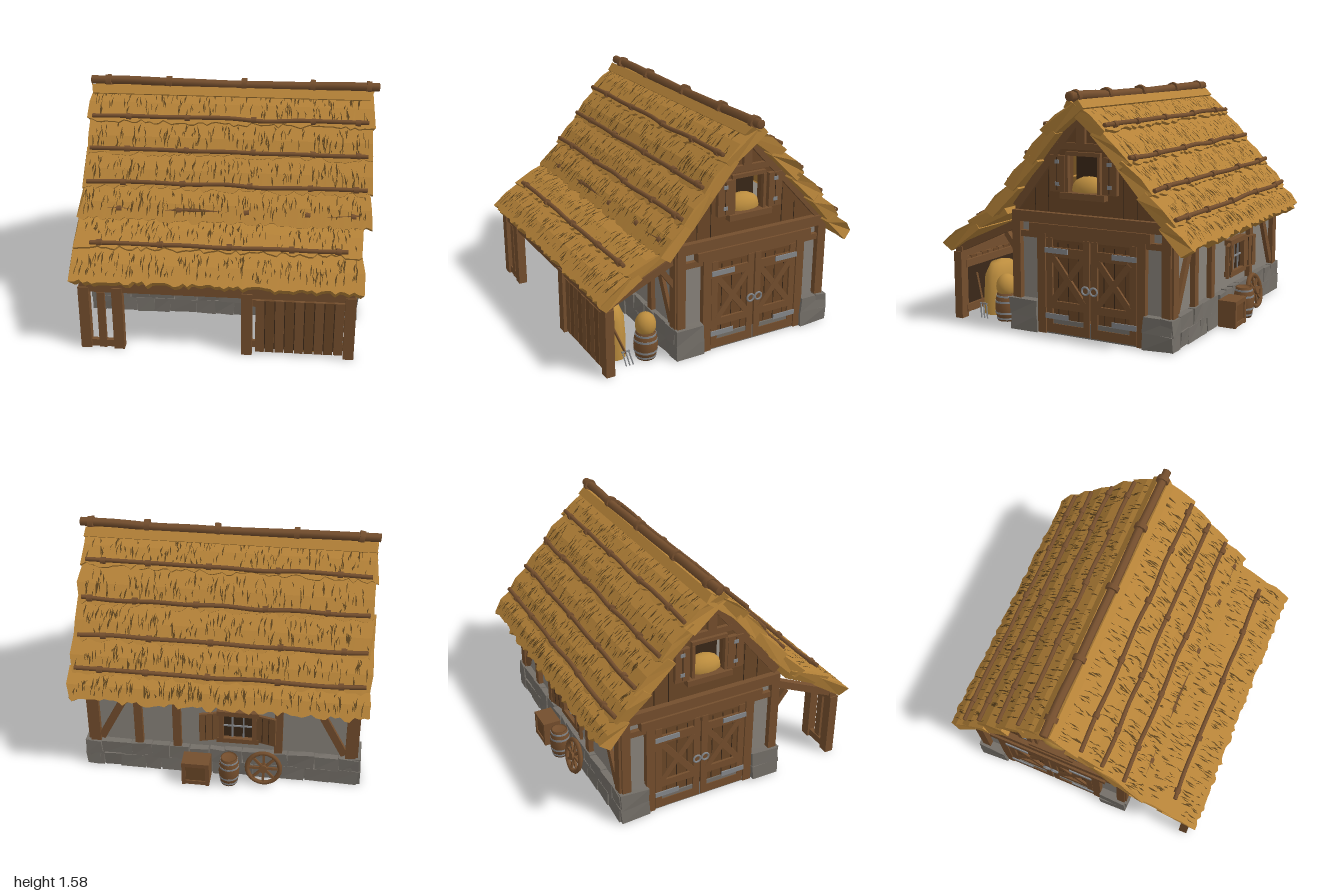
import * as THREE from 'three';
import { mergeGeometries } from 'three/addons/utils/BufferGeometryUtils.js';

export function createModel() {
  const root = new THREE.Group();
  root.name = 'thatchedBarn';
  let seed = 7;
  const rnd = (a = 0, b = 1) => {
    seed = (seed * 16807) % 2147483647;
    return a + (b - a) * (seed / 2147483647);
  };
  const mat = (name, color, extra = {}) => Object.assign(new THREE.MeshStandardMaterial({ color, ...extra }), { name });
  const thatch = mat('thatch', 0xb58238), straw = mat('darkStraw', 0x5a411c, { side: THREE.DoubleSide });
  const wood = mat('wood', 0x744e2d), board = mat('boards', 0x6a4626), seam = mat('seam', 0x3a2818);
  const plaster = mat('plaster', 0x88827a), stone = mat('stone', 0x746f68), metal = mat('metal', 0x85878a);
  const hay = mat('hay', 0xbc8d3e);
  const V = (x, y, z) => new THREE.Vector3(x, y, z);

  // helpers
  let target = root;
  const group = (name, fn, parent = root) => {
    const g = new THREE.Group(), old = target;
    g.name = name; parent.add(g); target = g; fn(g); target = old;
    return g;
  };
  const add = (name, geo, m, x = 0, y = 0, z = 0) => {
    const o = new THREE.Mesh(geo, m);
    o.name = name; o.position.set(x, y, z); target.add(o);
    return o;
  };
  const box = (name, m, w, h, d, x, y, z) => add(name, new THREE.BoxGeometry(w, h, d), m, x, y, z);
  const bar = (name, m, p, q, w, d) => {
    const dir = q.clone().sub(p), c = p.clone().add(q).multiplyScalar(0.5);
    const o = box(name, m, w, dir.length(), d, c.x, c.y, c.z);
    o.quaternion.setFromUnitVectors(V(0, 1, 0), dir.normalize());
    return o;
  };
  const flat = (pos) => {
    const g = new THREE.BufferGeometry();
    g.setAttribute('position', new THREE.Float32BufferAttribute(pos, 3));
    g.computeVertexNormals();
    return g;
  };
  const roughBox = (w, h, d, x, y, z, j) => {
    const g = new THREE.BoxGeometry(w, h, d).toNonIndexed(), p = g.attributes.position;
    const off = Array.from({ length: 8 }, () => [rnd(-j, j), rnd(-j, j), rnd(-j, j)]);
    for (let i = 0; i < p.count; i++) {
      const o = off[(p.getX(i) > 0) + 2 * (p.getY(i) > 0) + 4 * (p.getZ(i) > 0)];
      p.setXYZ(i, p.getX(i) + x + o[0], Math.max(0, p.getY(i) + y + o[1]), p.getZ(i) + z + o[2]);
    }
    g.computeVertexNormals();
    return g;
  };

  // one ragged thatch course from a to b, each [z, y]
  const course = (a, b, x0, x1) => {
    const side = Math.sign(b[0] - a[0]), N = 64;
    const d = new THREE.Vector2(b[0] - a[0], b[1] - a[1]), L = d.length();
    d.normalize();
    const n = new THREE.Vector2(-d.y * side, d.x * side);
    const at = (t, h) => [a[0] + d.x * t + n.x * h, a[1] + d.y * t + n.y * h];
    const profile = [[-0.03, -0.02], [L * 0.55, 0.012], [L + 0.02, 0.008], [L + 0.01, -0.07], [-0.03, -0.085]];
    if (side < 0) profile.reverse();
    const rings = [];
    for (let j = 0; j <= N; j++) {
      const jag = rnd(-0.018, 0.018), end = j === 0 || j === N;
      rings.push(profile.map(([t, h]) => {
        const [z, y] = at(t > L ? t + jag : t, h);
        return [x0 + ((x1 - x0) * j) / N + (end ? rnd(-0.02, 0.02) : 0), y, z];
      }));
    }
    const pos = [], tri = (...v) => v.forEach((p) => pos.push(...p));
    for (let j = 0; j < N; j++) for (let i = 0; i < 5; i++) {
      const k = (i + 1) % 5, A = rings[j], B = rings[j + 1];
      tri(A[i], A[k], B[i]);
      tri(A[k], B[k], B[i]);
    }
    for (let k = 1; k < 4; k++) {
      tri(rings[N][0], rings[N][k], rings[N][k + 1]);
      tri(rings[0][0], rings[0][k + 1], rings[0][k]);
    }
    add('thatchCourse', flat(pos), thatch);
    // dark straw slivers lying on the course
    const s = [];
    for (let i = 0; i < 150; i++) {
      const x = rnd(x0 + 0.03, x1 - 0.03), len = rnd(0.03, 0.1), w = rnd(0.002, 0.006), lean = rnd(-0.015, 0.015);
      const t0 = rnd(0.02, Math.max(0.04, L - len)), P = (t, dx) => {
        const m = L * 0.55, h = t < m ? -0.02 + (0.032 * (t + 0.03)) / (m + 0.03) : 0.012;
        const [z, y] = at(t, h + 0.003);
        return [x + dx, y, z];
      };
      const p = P(t0, 0), l = P(t0 + len / 2, lean - w), r = P(t0 + len / 2, lean + w), q = P(t0 + len, lean);
      if (side > 0) s.push(...p, ...l, ...r, ...l, ...q, ...r);
      else s.push(...p, ...r, ...l, ...l, ...r, ...q);
    }
    add('strawStrokes', flat(s), straw);
  };
  // wobbly pole along x with lashings
  const pole = (name, y, z, x0, x1, r, ties) => {
    const pts = Array.from({ length: 9 }, (_, i) => V(x0 + ((x1 - x0) * i) / 8, y + rnd(-0.007, 0.007), z + rnd(-0.006, 0.006)));
    add(name, new THREE.TubeGeometry(new THREE.CatmullRomCurve3(pts), 32, r, 7), wood);
    for (const e of [0, 8]) add(name + 'End', new THREE.SphereGeometry(r, 7, 5), wood, pts[e].x, pts[e].y, pts[e].z).scale.x = 0.2;
    for (const x of ties) add('lashing', new THREE.CylinderGeometry(r * 1.5, r * 1.5, 0.035, 8), wood, x, y, z).rotation.z = Math.PI / 2 + rnd(-0.2, 0.2);
  };
  group('roof', () => {
    const front = [[-0.13, 1.51], [0.08, 1.33], [0.22, 1.15], [0.37, 0.97], [0.52, 0.80]];
    const back = [[-0.13, 1.51], [-0.33, 1.34], [-0.5, 1.15], [-0.66, 0.97], [-0.8, 0.8], [-0.91, 0.67]];
    const lean = [[0.47, 0.82], [0.71, 0.69], [0.9, 0.54]];
    for (const [line, x0, x1] of [[front, -0.98, 0.95], [back, -0.98, 0.95], [lean, -0.97, 0.9]])
      for (let i = 0; i < line.length - 1; i++) {
        course(line[i], line[i + 1], x0, x1);
        if (i || line === lean) {
          const inset = line === lean && i ? 0.1 : 0.03, sh = rnd(-0.08, 0.08);
          pole('roofPole', line[i][1] + 0.022, line[i][0] + 0.008 * Math.sign(line[i][0]), x0 + inset, x1 - inset, 0.015,
            [-0.75, -0.35, 0.1, 0.5, 0.8].map((x) => x + sh));
        }
      }
    pole('ridgePole', 1.53, -0.13, -0.99, 0.99, 0.03, [-0.87, -0.45, 0.07, 0.54, 0.92]);
  });

  // house core
  const X0 = -0.03;
  group('walls', () => {
    box('plasterWalls', plaster, 1.74, 0.74, 1.1, X0, 0.4, -0.19);
    box('floorSlab', stone, 1.8, 0.1, 1.14, X0, 0.05, -0.195);
    const stones = [];
    for (let r = 0; r < 2; r++) {
      const y = 0.055 + r * 0.1;
      for (const z of [0.355, -0.745])
        for (let x = X0 - 0.92; x < X0 + 0.9;) {
          const w = Math.min(rnd(0.1, 0.2), X0 + 0.93 - x);
          stones.push(roughBox(w - 0.004, 0.108, 0.08, x + w / 2, y, z, 0.007));
          x += w;
        }
      for (const s of [1, -1]) for (const [z, w] of [[0.29, 0.2], [-0.68, 0.2]])
        stones.push(roughBox(0.09, 0.108, w, X0 + s * 0.885, y, z, 0.008));
    }
    add('foundationStones', mergeGeometries(stones), stone);
    // long wall framing
    for (const [z, xs] of [[-0.75, [-0.86, -0.38, 0.3, 0.56, 0.86]], [0.365, [-0.86, -0.55, 0.22, 0.55, 0.86]]]) {
      for (const x of xs) box('wallPost', wood, Math.abs(x) > 0.8 ? 0.07 : 0.055, 0.56, 0.05, X0 + x, 0.48, z);
      box('wallPlate', wood, 1.78, 0.07, 0.055, X0, 0.7, z);
      for (const s of [1, -1]) bar('wallBrace', wood, V(X0 + s * 0.82, 0.23, z), V(X0 + s * 0.6, 0.66, z), 0.05, 0.035);
    }
  });

  // gable ends
  const gable = new THREE.Shape([[0.38, 0.74], [0.38, 0.82], [-0.13, 1.45], [-0.76, 0.78], [-0.76, 0.74]].map((p) => new THREE.Vector2(...p)));
  gable.holes.push(new THREE.Path([[-0.04, 0.93], [-0.25, 0.93], [-0.25, 1.16], [-0.04, 1.16]].map((p) => new THREE.Vector2(...p))));
  const gableGeo = new THREE.ExtrudeGeometry(gable, { depth: 0.04, bevelEnabled: false });
  for (const s of [1, -1]) group(s > 0 ? 'leftGable' : 'rightGable', () => {
    const X = (o) => X0 + s * (0.87 + o);
    // plate: zy box at offset o from the wall
    const plate = (name, m, z0, z1, y0, y1, t, o = 0) => box(name, m, t, y1 - y0, z1 - z0, X(o + t / 2), (y0 + y1) / 2, (z0 + z1) / 2);
    const diag = (name, z0, y0, z1, y1, w, o) => bar(name, wood, V(X(o), y0, z0), V(X(o), y1, z1), 0.025, w);
    add('gableBoards', gableGeo, board, s > 0 ? X(0) : X(-0.04)).rotation.y = -Math.PI / 2;
    plate('loftShade', seam, -0.32, 0.03, 0.88, 1.22, 0.01, -0.2);
    const pile = add('loftHay', new THREE.SphereGeometry(0.11, 14, 8), hay, X(-0.06), 0.94, -0.145);
    pile.scale.set(0.7, 0.8, 1.15);
    // beams and rafters
    plate('tieBeam', wood, -0.76, 0.38, 0.72, 0.79, 0.04);
    plate('collarBeam', wood, -0.3, 0.04, 1.2, 1.24, 0.025);
    plate('kingPost', wood, -0.16, -0.1, 1.24, 1.44, 0.025);
    diag('rafter', 0.36, 0.81, -0.12, 1.41, 0.055, 0.012);
    diag('rafter', -0.75, 0.75, -0.14, 1.41, 0.055, 0.012);
    for (const [z, y] of [[0.22, 0.94], [0.12, 1.06], [-0.42, 1.03], [-0.52, 0.92]]) plate('boardSeam', seam, z, z + 0.004, 0.79, y, 0.003);
    // loft hatch
    plate('hatchSill', wood, -0.31, 0.01, 0.89, 0.93, 0.05);
    plate('hatchHead', wood, -0.27, -0.02, 1.16, 1.185, 0.025);
    for (const z of [-0.04, -0.27]) plate('hatchJamb', wood, z, z + 0.02, 0.93, 1.16, 0.03);
    for (const [z, e] of [[-0.02, 0.09], [-0.39, -0.29]]) {
      plate('hatchShutter', wood, z, e, 0.93, 1.16, 0.03, 0.005);
      plate('shutterSeam', seam, (z + e) / 2, (z + e) / 2 + 0.004, 0.94, 1.15, 0.002, 0.035);
      for (const y of [0.98, 1.12]) plate('shutterHinge', metal, (z + e) / 2 - 0.015, (z + e) / 2 + 0.015, y - 0.012, y + 0.012, 0.005, 0.035);
    }
    // posts round the doorway
    for (const [z0, z1, y0] of [[0.32, 0.38, 0.2], [-0.76, -0.7, 0.2], [0.13, 0.19, 0], [-0.59, -0.53, 0]]) plate('doorwayPost', wood, z0, z1, y0, 0.73, 0.04);
    plate('lintel', wood, -0.63, 0.24, 0.66, 0.72, 0.055);
    plate('sidePlate', wood, -0.76, 0.38, 0.62, 0.66, 0.03);
    // double doors
    for (const m of [1, -1]) {
      const Z = (v) => -0.2 + m * v;
      const leaf = (name, mt, v0, v1, y0, y1, t, o) => plate(name, mt, Math.min(Z(v0), Z(v1)), Math.max(Z(v0), Z(v1)), y0, y1, t, o);
      leaf('doorBoards', board, 0.004, 0.33, 0.01, 0.63, 0.02, 0);
      for (const v of [0.09, 0.165, 0.24]) leaf('doorSeam', seam, v, v + 0.005, 0.02, 0.6, 0.002, 0.02);
      for (const v of [0.006, 0.28]) leaf('doorStile', wood, v, v + 0.045, 0.01, 0.63, 0.016, 0.02);
      for (const [y0, y1] of [[0.01, 0.07], [0.17, 0.22], [0.51, 0.57]]) leaf('doorRail', wood, 0.05, 0.28, y0, y1, 0.016, 0.02);
      diag('doorBrace', Z(0.05), 0.22, Z(0.28), 0.51, 0.04, 0.026);
      diag('doorBrace', Z(0.28), 0.22, Z(0.05), 0.51, 0.04, 0.024);
      for (const y of [0.12, 0.55]) leaf('doorHinge', metal, 0.16, 0.33, y - 0.017, y + 0.017, 0.008, 0.038);
      add('doorRing', new THREE.TorusGeometry(0.025, 0.007, 6, 14), metal, X(0.045), 0.315, Z(0.03)).rotation.y = Math.PI / 2;
    }
    plate('doorGap', seam, -0.203, -0.197, 0.01, 0.62, 0.022);
  });

  // shuttered windows on the long walls
  const windowUnit = (name, x, y, z, turn) => group(name, (g) => {
    g.position.set(x, y, z); g.rotation.y = turn;
    box('pane', seam, 0.22, 0.2, 0.01, 0, 0, 0.01);
    for (const s of [1, -1]) {
      box('frameRail', wood, 0.28, 0.035, 0.05, 0, s * 0.11, 0.02);
      box('frameStile', wood, 0.03, 0.22, 0.05, s * 0.11, 0, 0.02);
      box('muntin', metal, 0.01, 0.2, 0.012, s * 0.037, 0, 0.018);
      const sh = box('shutter', wood, 0.13, 0.22, 0.02, s * 0.19, 0, 0.045);
      sh.rotation.y = -s * 0.25;
      for (const v of [-0.025, 0.02]) {
        const l = box('shutterSeam', seam, 0.004, 0.2, 0.003, 0, 0, 0);
        sh.add(l); l.position.set(v, 0, 0.011);
      }
    }
    box('muntin', metal, 0.2, 0.01, 0.012, 0, 0, 0.018);
  });
  windowUnit('backWindow', -0.14, 0.41, -0.745, Math.PI);
  windowUnit('frontWindow', -0.09, 0.37, 0.365, 0);

  // lean-to frame and fence panels
  group('leanTo', () => {
    box('eaveBeam', wood, 1.78, 0.07, 0.05, -0.035, 0.46, 0.84);
    for (const x of [-0.89, -0.3, 0.3, 0.82]) {
      bar('leanToRafter', wood, V(x, 0.48, 0.85), V(x, 0.69, 0.38), 0.05, 0.05);
      if (Math.abs(x) > 0.5) bar('kneeBrace', wood, V(x, 0.5, 0.37), V(x, 0.62, 0.46), 0.04, 0.035);
    }
    for (const x of [-0.9, -0.68, 0.165, 0.83]) box('fencePost', wood, 0.07, 0.46, 0.06, x, 0.23, 0.845);
    box('fenceSlat', wood, 0.05, 0.42, 0.025, -0.79, 0.21, 0.85);
    box('fenceRail', wood, 0.22, 0.05, 0.03, -0.79, 0.03, 0.845);
    for (let i = 0; i < 9; i++) box('fencePlank', i % 2 ? board : wood, 0.058, 0.39, 0.022 + rnd(0, 0.008), 0.25 + i * 0.064, 0.215, 0.848);
    box('fenceBacking', seam, 0.56, 0.36, 0.01, 0.51, 0.21, 0.832);
    for (const y of [0.06, 0.37]) box('fenceRail', wood, 0.62, 0.05, 0.02, 0.5, y, 0.82);
  });

  // barrels, hay, fork, crate, wheel
  const barrel = (name, x, z, r, h) => group(name, (g) => {
    g.position.set(x, 0, z);
    const prof = [[0, 0], [0.78, 0], [0.95, 0.25], [1, 0.5], [0.95, 0.75], [0.8, 1], [0.7, 1], [0.7, 0.94], [0, 0.94]];
    add('staves', new THREE.LatheGeometry(prof.map(([a, b]) => new THREE.Vector2(a * r, b * h)), 14), wood);
    for (const t of [0.1, 0.3, 0.7, 0.9]) add('hoop', new THREE.CylinderGeometry(r * 0.98, r * 0.98, 0.014, 14), metal, 0, t * h, 0).scale.setScalar(t === 0.1 || t === 0.9 ? 0.9 : 1);
  });
  barrel('sideBarrel', 0.74, 0.535, 0.08, 0.19);
  barrel('backBarrel', -0.09, -0.85, 0.07, 0.21);
  add('barrelHay', new THREE.SphereGeometry(0.07, 14, 10), hay, 0.74, 0.235, 0.535).scale.y = 1.2;
  add('haystack', new THREE.LatheGeometry([[0.1, 0], [0.1, 0.12], [0.092, 0.27], [0.06, 0.35], [0, 0.37]].map((p) => new THREE.Vector2(...p)), 14), hay, 0.55, 0, 0.71).scale.x = 1.6;
  group('pitchfork', () => {
    bar('handle', wood, V(0.74, 0.3, 0.78), V(0.78, 0.09, 0.7), 0.012, 0.012);
    for (const k of [-1, 0, 1]) bar('tine', metal, V(0.78, 0.1, 0.7 + k * 0.022), V(0.8, 0.005, 0.68 + k * 0.025), 0.007, 0.007);
    bar('tineBar', metal, V(0.78, 0.1, 0.672), V(0.78, 0.1, 0.728), 0.009, 0.009);
  });
  group('crate', () => {
    box('crateBody', board, 0.17, 0.16, 0.11, 0.13, 0.085, -0.855);
    for (const y of [0.02, 0.165]) box('crateRim', wood, 0.185, 0.03, 0.125, 0.13, y, -0.855);
    for (const x of [0.05, 0.21]) box('crateCorner', wood, 0.025, 0.17, 0.125, x, 0.085, -0.855);
  });
  group('cartWheel', (g) => {
    g.position.set(-0.32, 0.13, -0.84); g.rotation.x = 0.2;
    add('rim', new THREE.TorusGeometry(0.11, 0.016, 6, 24), wood);
    add('hub', new THREE.CylinderGeometry(0.028, 0.028, 0.05, 10), wood).rotation.x = Math.PI / 2;
    for (let i = 0; i < 4; i++) box('spoke', wood, 0.21, 0.016, 0.016, 0, 0, 0).rotation.z = (i * Math.PI) / 4;
  });
  return root;
}
